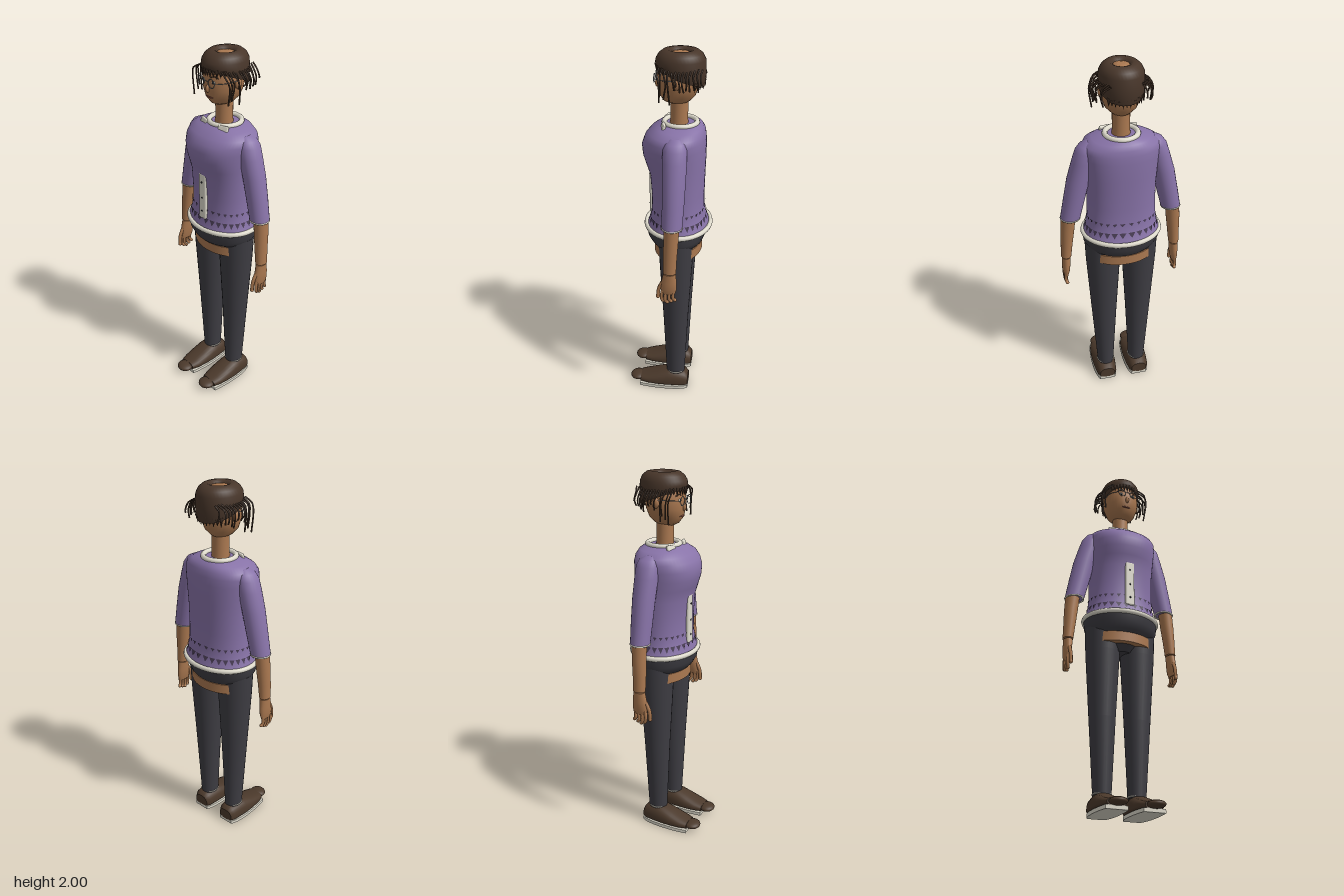
import * as THREE from 'three';
import { RoundedBoxGeometry } from 'three/addons/geometries/RoundedBoxGeometry.js';

const CZ = -0.045; // body axis depth
const mat = (name, color, side = THREE.FrontSide) => new THREE.MeshStandardMaterial({ name, color, side });

// point on a ring [y, cx, cz, rx, rzFront, rzBack]
function ringPoint([y, cx, cz, rx, rf, rb], a, e) {
  const s = Math.sin(a), c = Math.cos(a), p = 2 / e;
  return [
    cx + rx * Math.sign(s) * Math.abs(s) ** p, y,
    cz + (c > 0 ? rf : rb) * Math.sign(c) * Math.abs(c) ** p,
  ];
}

// smooth skin through horizontal rings, bottom to top, with flat caps
function loft(rings, n = 24, e = 2) {
  const pos = [], idx = [];
  const addRing = (r) => {
    for (let j = 0; j < n; j++) pos.push(...ringPoint(r, (j / n) * Math.PI * 2, e));
  };
  rings.forEach(addRing);
  for (let i = 0; i < rings.length - 1; i++) {
    for (let j = 0; j < n; j++) {
      const a = i * n + j, b = i * n + ((j + 1) % n);
      idx.push(a, b, b + n, a, b + n, a + n);
    }
  }
  [rings[0], rings[rings.length - 1]].forEach((r, top) => {
    const base = pos.length / 3;
    addRing(r);
    pos.push(r[1], r[0], r[2]);
    for (let j = 0; j < n; j++) {
      const a = base + j, b = base + ((j + 1) % n);
      if (top) idx.push(base + n, a, b);
      else idx.push(base + n, b, a);
    }
  });
  const g = new THREE.BufferGeometry();
  g.setAttribute('position', new THREE.Float32BufferAttribute(pos, 3));
  g.setIndex(idx);
  g.computeVertexNormals();
  return g;
}

const tube = (pts, r, seg = 8) => new THREE.TubeGeometry(
  new THREE.CatmullRomCurve3(pts.map((p) => new THREE.Vector3(...p))), seg, r, 6);
const ball = (rx, ry, rz) => new THREE.SphereGeometry(1, 28, 20).scale(rx, ry, rz);

const TORSO = [
  [1.06, 0, CZ, 0.208, 0.165, 0.165], [1.1, 0, CZ, 0.192, 0.15, 0.148],
  [1.16, 0, CZ, 0.182, 0.14, 0.138], [1.25, 0, CZ, 0.18, 0.14, 0.136],
  [1.36, 0, CZ, 0.182, 0.148, 0.138], [1.42, 0, CZ, 0.186, 0.168, 0.14],
  [1.47, 0, CZ, 0.19, 0.184, 0.141], [1.52, 0, CZ, 0.195, 0.188, 0.141],
  [1.56, 0, CZ, 0.198, 0.174, 0.139], [1.59, 0, CZ, 0.19, 0.148, 0.133],
  [1.615, 0, CZ, 0.15, 0.115, 0.122], [1.63, 0, CZ, 0.09, 0.085, 0.1],
];

// point just outside the sweater
function onTorso(y, a) {
  const i = Math.max(0, TORSO.findIndex((r) => r[0] > y) - 1);
  const A = TORSO[i], B = TORSO[i + 1], t = (y - A[0]) / (B[0] - A[0]);
  const r = A.map((v, k) => v + (B[k] - v) * t + (k > 2 ? 0.004 : 0));
  return ringPoint(r, a, 2.2);
}

export function createModel() {
  const M = {
    skin: mat('skin', 0xaa7850),
    sweater: mat('purple knit', 0x8873a8),
    cream: mat('cream trim', 0xdedacc),
    trousers: mat('charcoal cloth', 0x3e3d43),
    hair: mat('dark brown hair', 0x48362a),
    shoe: mat('brown leather', 0x4b392b),
    pattern: mat('dark pattern', 0x493d55, THREE.DoubleSide),
    frame: mat('grey frame', 0x8f979c),
    eye: mat('dark eye', 0x25282d),
    lips: mat('lips', 0x7d4638),
  };
  const model = new THREE.Group();
  model.name = 'standingFigure';
  const add = (name, geo, m, x = 0, y = 0, z = 0) => {
    const mesh = new THREE.Mesh(geo, m);
    mesh.name = name;
    mesh.position.set(x, y, z);
    model.add(mesh);
    return mesh;
  };

  // sweater body, hem and front placket
  add('sweaterBody', loft(TORSO, 56, 2.2), M.sweater);
  add('sweaterHem', new THREE.TorusGeometry(0.205, 0.014, 10, 48).rotateX(Math.PI / 2).scale(1, 1, 0.84), M.cream, 0, 1.063, CZ);
  add('placket', new RoundedBoxGeometry(0.054, 0.27, 0.022, 3, 0.01), M.cream, -0.002, 1.247, 0.098);
  for (const y of [1.16, 1.24, 1.33]) add('button', ball(0.005, 0.005, 0.003), M.eye, -0.002, y, 0.11);

  // knitted triangle rows
  const tri = [], N = 30;
  for (const [y, h, w] of [[1.177, 0.018, 0.32], [1.123, 0.03, 0.42]]) {
    for (let j = 0; j < N; j++) {
      const a = ((j + 0.5) / N) * Math.PI * 2, d = (w / N) * Math.PI * 2;
      tri.push(...onTorso(y, a - d), ...onTorso(y - h, a), ...onTorso(y, a + d));
    }
  }
  const triGeo = new THREE.BufferGeometry();
  triGeo.setAttribute('position', new THREE.Float32BufferAttribute(tri, 3));
  triGeo.computeVertexNormals();
  add('knitPattern', triGeo, M.pattern);

  // collar and neck
  add('collarRing', new THREE.TorusGeometry(0.083, 0.014, 10, 36).rotateX(Math.PI / 2), M.cream, 0, 1.633, -0.053);
  add('neck', loft([[1.58, 0, CZ, 0.052, 0.05, 0.05], [1.65, 0, CZ, 0.045, 0.045, 0.045], [1.78, 0, CZ, 0.045, 0.045, 0.045]]), M.skin);

  // hips
  add('waistband', loft([
    [0.95, 0, CZ, 0.15, 0.12, 0.12], [0.975, 0, CZ, 0.185, 0.145, 0.137],
    [1.01, 0, CZ, 0.205, 0.165, 0.15], [1.06, 0, CZ, 0.208, 0.172, 0.16],
  ], 40), M.trousers);
  add('hipSkin', loft([[0.906, 0, CZ, 0.18, 0.13, 0.13], [0.96, 0, CZ, 0.18, 0.13, 0.13]], 40), M.skin);
  add('crotch', loft([[0.87, 0, CZ, 0.07, 0.07, 0.07], [0.91, 0, CZ, 0.1, 0.1, 0.1]], 32), M.trousers);

  // head and face
  add('head', loft([
    [1.732, 0, -0.035, 0.025, 0.04, 0.04], [1.745, 0, -0.036, 0.052, 0.068, 0.062],
    [1.775, 0, -0.038, 0.08, 0.092, 0.088], [1.82, 0, -0.04, 0.097, 0.104, 0.103],
    [1.87, 0, -0.042, 0.101, 0.106, 0.106], [1.92, 0, -0.045, 0.095, 0.1, 0.1],
    [1.96, 0, -0.047, 0.076, 0.08, 0.08], [1.983, 0, -0.048, 0.048, 0.05, 0.05],
    [1.99, 0, -0.048, 0.02, 0.02, 0.02],
  ], 36), M.skin);
  add('nose', ball(0.01, 0.02, 0.012), M.skin, 0, 1.828, 0.064);
  add('mouth', ball(0.026, 0.005, 0.006), M.lips, 0, 1.783, 0.053);
  add('glassesBridge', tube([[-0.014, 1.868, 0.074], [0, 1.872, 0.078], [0.014, 1.868, 0.074]], 0.002), M.frame);

  // hair cap with open crown, lower at the back
  const cap = new THREE.LatheGeometry([
    [0.1, 1.9], [0.109, 1.9], [0.112, 1.93], [0.109, 1.957], [0.097, 1.98],
    [0.078, 1.996], [0.058, 2.0], [0.044, 1.994], [0.038, 1.984],
  ].map((p) => new THREE.Vector2(...p)), 40);
  const P = cap.attributes.position;
  for (let i = 0; i < P.count; i++) {
    const z = P.getZ(i), y = P.getY(i);
    const drop = Math.max(0, (1.96 - y) / 0.06) * (0.035 - 0.42 * z);
    P.setY(i, y - drop + 0.01 * Math.max(0, (1.96 - y) / 0.06));
    P.setZ(i, z * 1.12 - 0.052);
  }
  cap.computeVertexNormals();
  M.hair.side = THREE.DoubleSide;
  add('hairCap', cap, M.hair);

  // loose locks, fringe and nape strands
  let seed = 7;
  const rnd = () => (seed = (seed * 16807) % 2147483647) / 2147483647;
  for (const s of [-1, 1]) {
    for (let i = 0; i < 13; i++) {
      const z = -0.165 + i * 0.0175, k = 1 - Math.abs(z + 0.05) * 2;
      const x = s * 0.108 * k, out = 0.015 + 0.035 * rnd();
      const end = (i > 8 ? 1.755 : 1.81) + 0.05 * rnd();
      add('hairLock', tube([
        [x * 0.9, 1.925, z], [x + s * out * 0.7, 1.9, z + 0.006],
        [x + s * out, 1.865, z + 0.01 * (rnd() - 0.5)], [x + s * out * 0.8, end, z + 0.02 * (rnd() - 0.5)],
      ], 0.0042), M.hair);
    }
  }
  for (let i = 0; i < 22; i++) {
    const back = i > 10, a = ((i % 11) - 5) * 0.17 + (back ? Math.PI : 0);
    const y = back ? 1.835 : 1.908;
    const strand = new THREE.ConeGeometry(0.011, 0.03 + 0.02 * rnd(), 6).rotateX(Math.PI);
    add(back ? 'napeStrand' : 'fringeStrand', strand, M.hair, 0.105 * Math.sin(a), y, -0.05 + 0.116 * Math.cos(a));
  }

  for (const s of [-1, 1]) {
    // collar flaps
    const flap = add('collarFlap', new RoundedBoxGeometry(0.058, 0.034, 0.016, 2, 0.006), M.cream, s * 0.07, 1.627, 0.026);
    flap.rotation.set(-0.35, s * 0.25, s * 0.12);

    // ear, eye, brow and glasses
    add('ear', ball(0.014, 0.028, 0.02), M.skin, s * 0.1, 1.855, -0.045);
    add('eyeWhite', ball(0.014, 0.007, 0.004), M.cream, s * 0.036, 1.866, 0.058);
    add('iris', ball(0.007, 0.008, 0.004), M.eye, s * 0.036, 1.866, 0.061);
    add('brow', tube([[s * 0.018, 1.888, 0.058], [s * 0.036, 1.894, 0.053], [s * 0.055, 1.887, 0.043]], 0.003), M.hair);
    add('glassesRim', new THREE.TorusGeometry(0.022, 0.002, 6, 24), M.frame, s * 0.036, 1.864, 0.074);
    add('glassesTemple', tube([[s * 0.058, 1.866, 0.074], [s * 0.095, 1.87, 0.03], [s * 0.104, 1.87, -0.04]], 0.002), M.frame);

    // sleeve and cuff
    add('sleeve', loft([
      [1.168, s * 0.272, CZ, 0.053, 0.052, 0.052], [1.28, s * 0.248, CZ, 0.057, 0.054, 0.058],
      [1.4, s * 0.222, CZ, 0.06, 0.057, 0.062], [1.5, s * 0.195, CZ, 0.058, 0.06, 0.064],
      [1.555, s * 0.183, CZ, 0.052, 0.058, 0.062], [1.585, s * 0.175, CZ, 0.038, 0.045, 0.05],
      [1.603, s * 0.16, CZ, 0.015, 0.025, 0.025],
    ]), M.sweater);
    add('cuff', new THREE.TorusGeometry(0.05, 0.005, 8, 28).rotateX(Math.PI / 2), M.cream, s * 0.272, 1.168, CZ);

    // forearm, palm, fingers and thumb
    add('forearm', loft([
      [0.918, s * 0.303, -0.037, 0.028, 0.034, 0.034], [1.0, s * 0.297, -0.038, 0.032, 0.036, 0.036],
      [1.09, s * 0.29, -0.042, 0.037, 0.038, 0.038], [1.2, s * 0.28, CZ, 0.039, 0.04, 0.04],
    ]), M.skin);
    add('palm', loft([
      [0.79, s * 0.308, -0.03, 0.012, 0.034, 0.036], [0.82, s * 0.307, -0.032, 0.02, 0.042, 0.043],
      [0.86, s * 0.305, -0.035, 0.023, 0.042, 0.04], [0.912, s * 0.303, -0.037, 0.024, 0.032, 0.032],
    ], 20), M.skin);
    for (let i = 0; i < 4; i++) {
      const z = -0.062 + i * 0.02, tip = 0.735 + Math.abs(i - 2) * 0.008;
      add('finger', tube([[s * 0.308, 0.82, z], [s * 0.312, 0.78, z + 0.006], [s * 0.311, tip + 0.01, z + 0.004], [s * 0.307, tip, z - 0.004]], 0.0095), M.skin);
      add('fingertip', ball(0.0095, 0.009, 0.0095), M.skin, s * 0.307, tip, z - 0.004);
    }
    add('thumb', tube([[s * 0.304, 0.86, 0], [s * 0.303, 0.815, 0.02], [s * 0.302, 0.765, 0.025]], 0.0105), M.skin);
    add('thumbTip', ball(0.0105, 0.011, 0.0105), M.skin, s * 0.302, 0.765, 0.025);

    // trouser leg
    add('trouserLeg', loft([
      [0.1, s * 0.095, CZ, 0.047, 0.053, 0.053], [0.5, s * 0.099, CZ, 0.071, 0.07, 0.07],
      [0.87, s * 0.101, CZ, 0.094, 0.09, 0.09], [1.0, s * 0.101, CZ, 0.099, 0.095, 0.095],
    ], 28), M.trousers);
    add('ankleTrim', new THREE.TorusGeometry(0.048, 0.004, 6, 24).rotateX(Math.PI / 2), M.cream, s * 0.095, 0.108, CZ);

    // shoe upper, toe and sole
    const sx = s * 0.098;
    const upper = loft([
      [-0.12, 0, -0.035, 0.045, 0.02, 0.045], [-0.1, 0, -0.035, 0.058, 0.02, 0.068],
      [-0.04, 0, -0.035, 0.065, 0.02, 0.078], [0.0, 0, -0.035, 0.068, 0.02, 0.074],
      [0.06, 0, -0.035, 0.068, 0.02, 0.052], [0.12, 0, -0.035, 0.062, 0.02, 0.031],
      [0.16, 0, -0.035, 0.05, 0.02, 0.02],
    ], 28, 2.5).rotateX(Math.PI / 2);
    add('shoeUpper', upper, M.shoe, sx);
    add('shoeToe', ball(0.047, 0.02, 0.045), M.shoe, sx, 0.036, 0.18);
    const sole = new THREE.Shape();
    sole.moveTo(-0.045, 0.12);
    sole.lineTo(0.045, 0.12);
    sole.quadraticCurveTo(0.066, 0.09, 0.069, 0.0);
    sole.quadraticCurveTo(0.071, -0.09, 0.058, -0.163);
    sole.lineTo(-0.058, -0.163);
    sole.quadraticCurveTo(-0.071, -0.09, -0.069, 0.0);
    sole.quadraticCurveTo(-0.066, 0.09, -0.045, 0.12);
    add('shoeSole', new THREE.ExtrudeGeometry(sole, { depth: 0.02, bevelEnabled: false }).rotateX(-Math.PI / 2), M.cream, sx);
  }
  return model;
}
